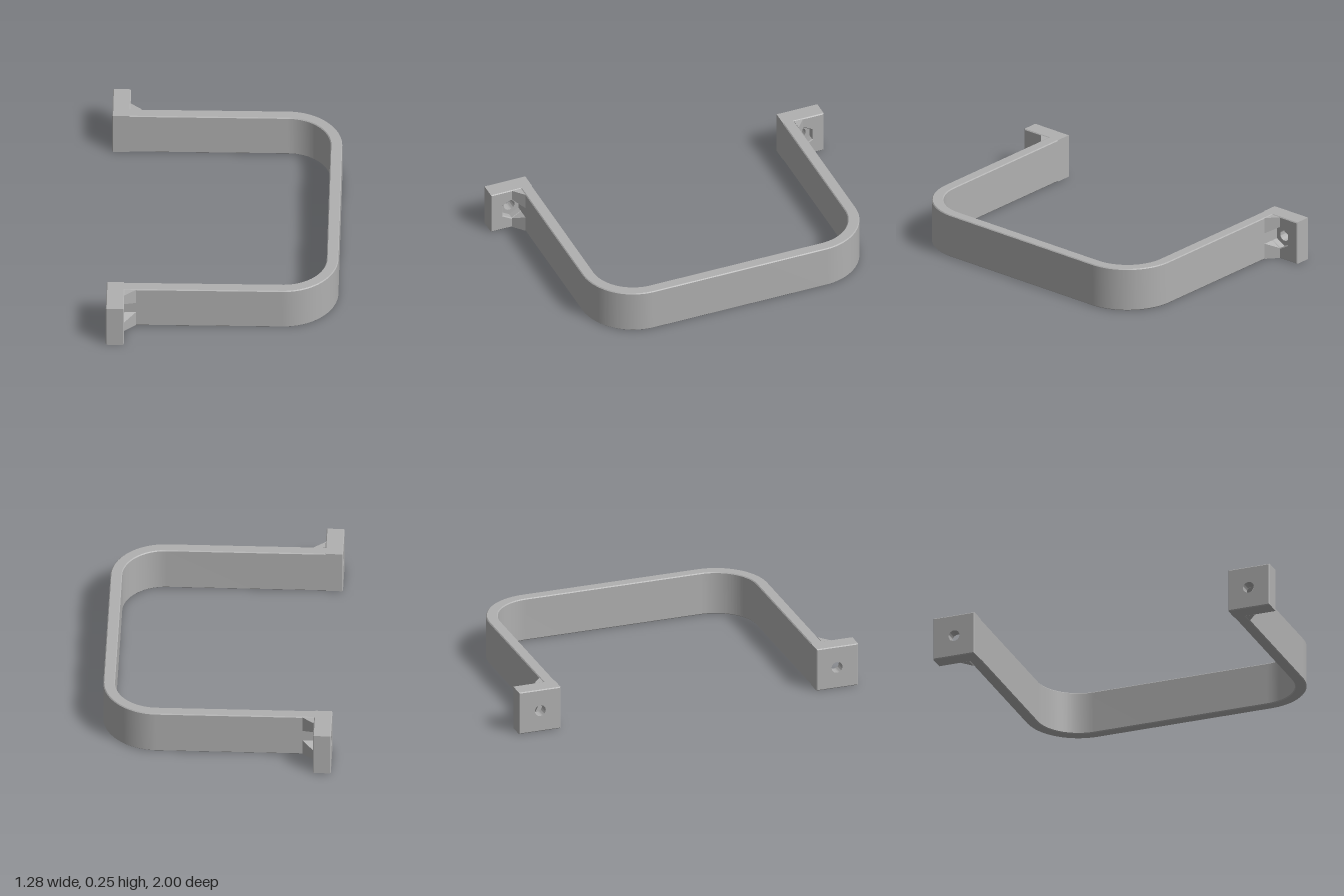
import * as THREE from 'three';
import { toCreasedNormals } from 'three/addons/utils/BufferGeometryUtils.js';

const HEIGHT = 0.25;
const BEVEL = 0.005;
const BAND_IN = 0.755, BAND_OUT = 0.82;  // inner and outer z of each arm
const FLANGE_BACK = -0.64, FLANGE_FRONT = -0.54;
const BOLT_Z = 0.875, NUT_R = 0.0635, HOLE_R = 0.032;

// Extrusion of exact total depth with small chamfered edges
function chamferedExtrude(shape, depth) {
  const geo = new THREE.ExtrudeGeometry(shape, {
    depth: depth - 2 * BEVEL, curveSegments: 24, bevelEnabled: true,
    bevelThickness: BEVEL, bevelSize: BEVEL, bevelOffset: -BEVEL, bevelSegments: 1,
  });
  return geo.translate(0, 0, BEVEL);
}

// Hexagon with a corner pointing up
function hexPoints(cx, r) {
  return Array.from({ length: 6 }, (_, i) => {
    const a = Math.PI / 2 + i * Math.PI / 3;
    return new THREE.Vector2(cx + r * Math.cos(a), r * Math.sin(a));
  });
}

// U-shaped strap with two rounded corners
function bandGeometry() {
  const start = -0.6, cx = 0.335, cz = 0.515;
  const rOut = BAND_OUT - cz, rIn = BAND_IN - cz;
  const s = new THREE.Shape();
  s.moveTo(start, -BAND_OUT);
  s.lineTo(cx, -BAND_OUT);
  s.absarc(cx, -cz, rOut, -Math.PI / 2, 0, false);
  s.absarc(cx, cz, rOut, 0, Math.PI / 2, false);
  s.lineTo(start, BAND_OUT);
  s.lineTo(start, BAND_IN);
  s.lineTo(cx, BAND_IN);
  s.absarc(cx, cz, rIn, Math.PI / 2, 0, true);
  s.absarc(cx, -cz, rIn, 0, -Math.PI / 2, true);
  s.lineTo(start, -BAND_IN);
  s.closePath();
  return toCreasedNormals(chamferedExtrude(s, HEIGHT).rotateX(-Math.PI / 2), 0.5);
}

// Mounting plate with a hexagonal nut pocket
function flangeGeometry() {
  const h = HEIGHT / 2;
  const s = new THREE.Shape([
    new THREE.Vector2(-1, -h), new THREE.Vector2(-BAND_IN, -h),
    new THREE.Vector2(-BAND_IN, h), new THREE.Vector2(-1, h),
  ]);
  s.holes.push(new THREE.Path(hexPoints(-BOLT_Z, NUT_R)));
  return chamferedExtrude(s, FLANGE_FRONT - FLANGE_BACK)
    .rotateY(Math.PI / 2).translate(FLANGE_BACK, 0, 0);
}

// Floor of the nut pocket, pierced by the bolt hole
function pocketFloorGeometry() {
  const s = new THREE.Shape(hexPoints(-BOLT_Z, NUT_R + 0.007));
  s.holes.push(new THREE.Path().absarc(-BOLT_Z, 0, HOLE_R, 0, Math.PI * 2, true));
  const geo = new THREE.ExtrudeGeometry(s, { depth: 0.06, bevelEnabled: false, curveSegments: 24 });
  return toCreasedNormals(geo.rotateY(Math.PI / 2).translate(FLANGE_BACK, 0, 0), 0.5);
}

// Sloped brace beside the nut channel; its inner end follows the hexagon
function gussetGeometry(side) {
  const s = new THREE.Shape([
    new THREE.Vector2(FLANGE_FRONT, -BAND_OUT),
    new THREE.Vector2(FLANGE_FRONT, -BOLT_Z),
    new THREE.Vector2(-0.475, -BAND_OUT),
  ]);
  const geo = new THREE.ExtrudeGeometry(s, { depth: 0.1, bevelEnabled: false });
  geo.rotateX(-Math.PI / 2).translate(0, side > 0 ? 0.025 : -0.125, 0);
  const p = geo.attributes.position;
  for (let i = 0; i < p.count; i++) {
    if (Math.abs(p.getY(i)) < 0.1) {
      const t = (p.getZ(i) - BAND_OUT) / (BOLT_Z - BAND_OUT);
      p.setY(i, side * NUT_R * (0.5 + 0.5 * t));
    } else {
      p.setY(i, side * (HEIGHT / 2 - 0.002));
    }
  }
  geo.computeVertexNormals();
  return geo;
}

export function createModel() {
  const grey = new THREE.MeshStandardMaterial({ color: 0xb0b0b0 });
  grey.name = 'grey';
  const model = new THREE.Group();
  model.name = 'bracket';

  const add = (parent, name, geo) => {
    const mesh = new THREE.Mesh(geo, grey);
    mesh.name = name;
    parent.add(mesh);
  };

  add(model, 'strap', bandGeometry());

  // Matching mounting ends, the second turned over to the far side
  const parts = {
    flange: flangeGeometry(),
    pocketFloor: pocketFloorGeometry(),
    upperGusset: gussetGeometry(1),
    lowerGusset: gussetGeometry(-1),
  };
  for (const [name, turn] of [['frontMount', 0], ['backMount', Math.PI]]) {
    const mount = new THREE.Group();
    mount.name = name;
    for (const [part, geo] of Object.entries(parts)) add(mount, part, geo);
    mount.rotation.x = turn;
    mount.position.y = HEIGHT / 2;
    model.add(mount);
  }
  return model;
}
